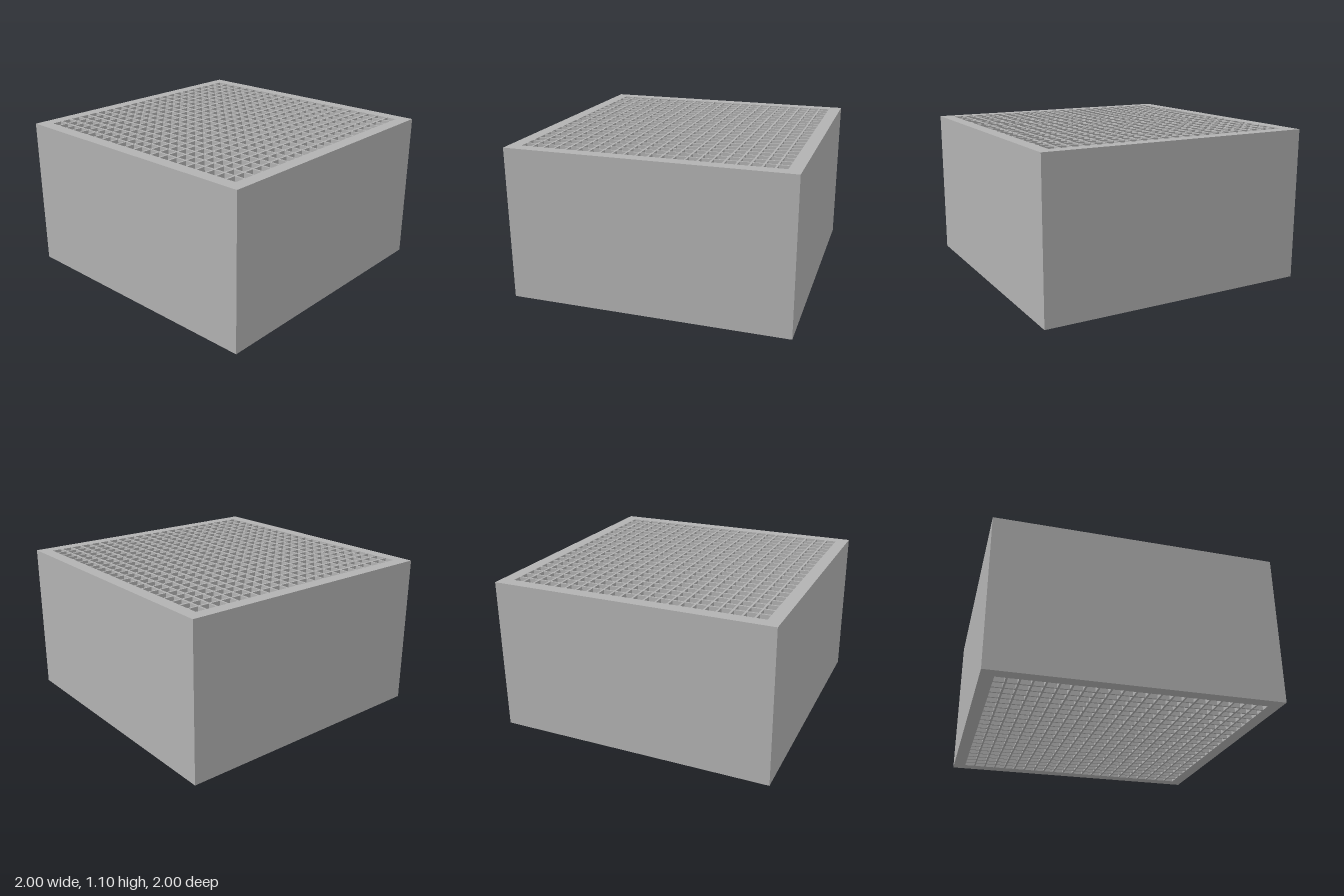
import * as THREE from 'three';

const COUNT = 22;          // channels per side
const PITCH = 2 / 24;      // spacing of the channels
const WALL = 0.0135;       // thickness of the walls between channels
const HEIGHT = 1.1;

// Closed square outline around a centre
function square(PathType, cx, cy, size) {
  const h = size / 2;
  return new PathType([
    new THREE.Vector2(cx - h, cy - h),
    new THREE.Vector2(cx + h, cy - h),
    new THREE.Vector2(cx + h, cy + h),
    new THREE.Vector2(cx - h, cy + h),
  ]);
}

export function createModel() {
  const group = new THREE.Group();
  group.name = 'honeycombBlock';
  const grey = new THREE.MeshStandardMaterial({ color: 0xb2b2b2 });
  grey.name = 'grey';

  // Solid square block pierced from top to bottom by a grid of square channels
  const outline = square(THREE.Shape, 0, 0, 2);
  const start = -(COUNT - 1) / 2 * PITCH;
  for (let i = 0; i < COUNT; i++) {
    for (let j = 0; j < COUNT; j++) {
      outline.holes.push(square(THREE.Path, start + i * PITCH, start + j * PITCH, PITCH - WALL));
    }
  }
  const geometry = new THREE.ExtrudeGeometry(outline, { depth: HEIGHT, bevelEnabled: false, curveSegments: 1 });
  geometry.rotateX(-Math.PI / 2); // extrusion points up

  const block = new THREE.Mesh(geometry, grey);
  block.name = 'channelBlock';
  group.add(block);
  return group;
}
